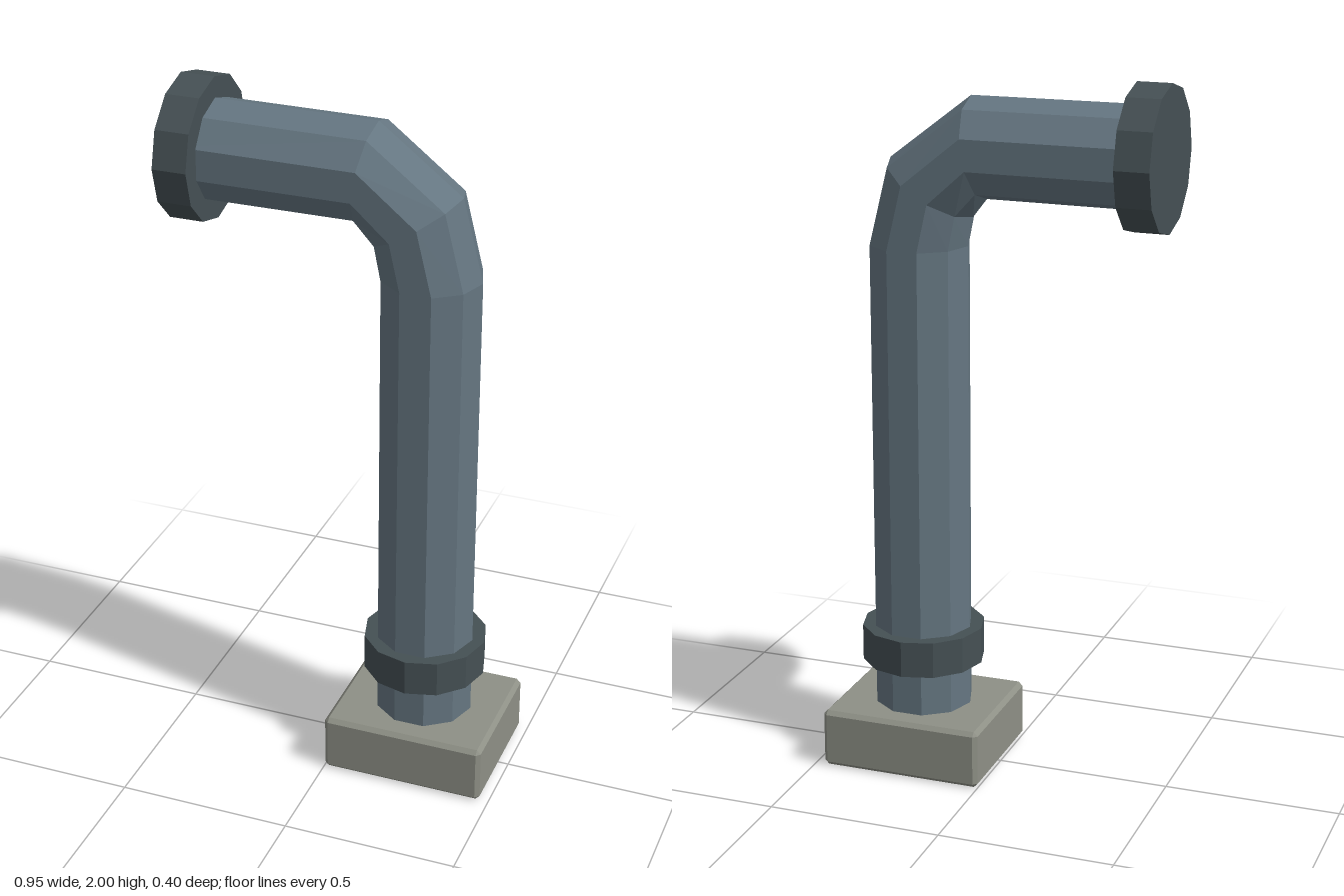
import * as THREE from 'three';
import { ConvexGeometry } from 'three/addons/geometries/ConvexGeometry.js';

const mat = (name, color) => {
  const m = new THREE.MeshStandardMaterial({ color, flatShading: true });
  m.name = name;
  return m;
};

// Ten-sided pipe swept through rings of [x, y, bend in degrees]
function pipeGeometry(rings, radius, sides) {
  const pos = [];
  const point = (ring, k) => {
    const [x, y, bend] = rings[ring];
    const b = THREE.MathUtils.degToRad(bend);
    const a = (k / sides) * Math.PI * 2;
    const out = radius * Math.cos(a);
    return [x + out * Math.sin(b), y + out * Math.cos(b), radius * Math.sin(a)];
  };
  for (let i = 0; i < rings.length - 1; i++) {
    for (let k = 0; k < sides; k++) {
      const a = point(i, k), b = point(i, k + 1);
      const c = point(i + 1, k + 1), d = point(i + 1, k);
      pos.push(...a, ...b, ...d, ...b, ...c, ...d);
    }
  }
  const g = new THREE.BufferGeometry();
  g.setAttribute('position', new THREE.Float32BufferAttribute(pos, 3));
  g.computeVertexNormals();
  return g;
}

// Box with every edge and corner chamfered
function chamferBox(w, h, d, b) {
  const pts = [];
  for (const sx of [-1, 1]) for (const sy of [-1, 1]) for (const sz of [-1, 1]) {
    const x = w / 2, y = h / 2, z = d / 2;
    pts.push(new THREE.Vector3(sx * x, sy * (y - b), sz * (z - b)));
    pts.push(new THREE.Vector3(sx * (x - b), sy * y, sz * (z - b)));
    pts.push(new THREE.Vector3(sx * (x - b), sy * (y - b), sz * z));
  }
  return new ConvexGeometry(pts);
}

export function createModel() {
  const group = new THREE.Group();
  group.name = 'elbowPipe';
  const pipeBlue = mat('pipe blue grey', 0x657681);
  const darkMetal = mat('dark metal', 0x455054);
  const stone = mat('stone grey', 0x8e9086);

  const add = (name, geometry, material, x = 0, y = 0, z = 0) => {
    const mesh = new THREE.Mesh(geometry, material);
    mesh.name = name;
    mesh.position.set(x, y, z);
    group.add(mesh);
    return mesh;
  };

  // Square footing
  add('base', chamferBox(0.473, 0.17, 0.404, 0.012), stone, 0.237, 0.085);

  // Pipe from the flange, round the elbow and down into the base
  const rings = [
    [-0.45, 1.8, 0],
    [0.062, 1.8, 9],
    [0.2, 1.683, 58],
    [0.237, 1.525, 90],
    [0.237, 0.1, 90],
  ];
  add('pipe', pipeGeometry(rings, 0.142, 10), pipeBlue);

  // Collar above the base
  add('collar', new THREE.CylinderGeometry(0.177, 0.177, 0.105, 12), darkMetal, 0.237, 0.353);

  // Flange closing the upper end
  const flange = add('flange', new THREE.CylinderGeometry(0.201, 0.201, 0.097, 12), darkMetal, -0.426, 1.8);
  flange.rotation.z = Math.PI / 2;

  return group;
}
